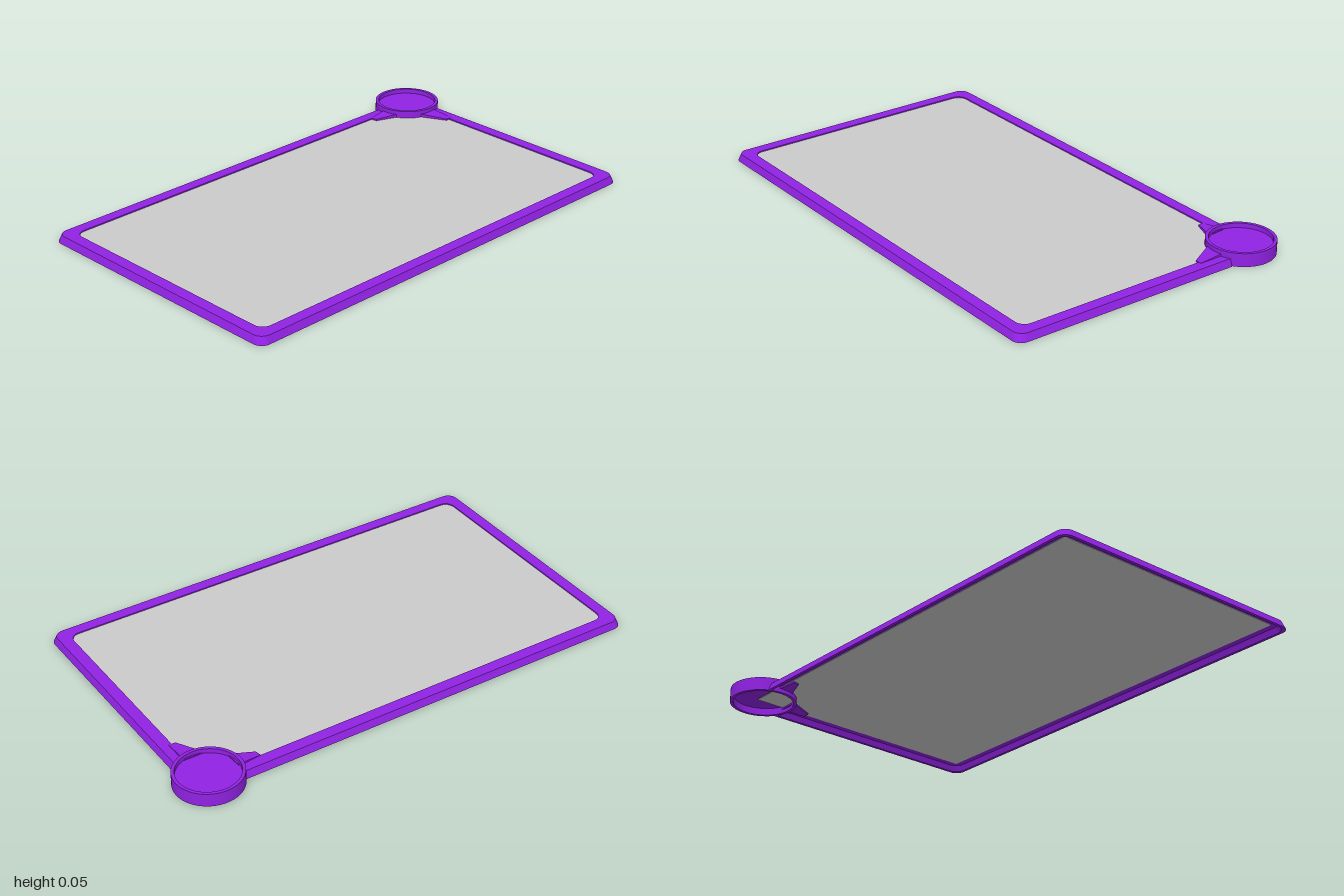
import * as THREE from 'three';
import { toCreasedNormals } from 'three/addons/utils/BufferGeometryUtils.js';

const purple = new THREE.MeshStandardMaterial({ color: 0x9122e4 });
const grey = new THREE.MeshStandardMaterial({ color: 0xcccccc });

// Outer bounds of the tray and the centre of the corner cup
const X0 = -0.545, X1 = 0.617, Z0 = -0.945, Z1 = 1;
const CUP = { x: -0.485, z: -0.866, r: 0.135 };
const CORNER_R = 0.04;

function addMesh(group, name, geometry, material) {
  const mesh = new THREE.Mesh(geometry, material);
  mesh.name = name;
  group.add(mesh);
  return mesh;
}

// Tray outline moved inwards by d, left open at the corner taken by the cup
function outline(d) {
  const pts = [[-0.37, Z0 + d]];
  const corners = [
    [X1 - d - CORNER_R, Z0 + d + CORNER_R, -90],
    [X1 - d - CORNER_R, Z1 - d - CORNER_R, 0],
    [X0 + d + CORNER_R, Z1 - d - CORNER_R, 90],
  ];
  for (const [cx, cz, start] of corners) {
    for (let k = 0; k <= 8; k++) {
      const a = THREE.MathUtils.degToRad(start + (k / 8) * 90);
      pts.push([cx + CORNER_R * Math.cos(a), cz + CORNER_R * Math.sin(a)]);
    }
  }
  pts.push([X0 + d, -0.747]);
  return pts;
}

// Hollow rim: a closed section of [inset, height] swept along the outline
function rimGeometry() {
  const section = [[0, 0], [0.01, 0.03], [0.058, 0.03], [0.058, 0.024], [0.02, 0.024], [0.012, 0]];
  const rings = section.map(([d, y]) => outline(d).map(([x, z]) => [x, y, z]));
  const n = rings[0].length;
  const position = [];
  for (let j = 0; j < rings.length; j++) {
    const lower = rings[j], upper = rings[(j + 1) % rings.length];
    for (let i = 0; i < n - 1; i++) {
      const a = lower[i], b = lower[i + 1], c = upper[i + 1], d = upper[i];
      position.push(...a, ...d, ...c, ...a, ...c, ...b);
    }
  }
  const geo = new THREE.BufferGeometry();
  geo.setAttribute('position', new THREE.Float32BufferAttribute(position, 3));
  return toCreasedNormals(geo, 0.6);
}

// Round cup: shallow dish on top, open underneath
function cupGeometry() {
  const profile = [
    [CUP.r, 0], [CUP.r, 0.055], [0.122, 0.055], [0.122, 0.036], [0, 0.036],
    [0, 0.029], [0.122, 0.029], [0.122, 0], [CUP.r, 0],
  ].map(([r, y]) => new THREE.Vector2(r, y));
  return toCreasedNormals(new THREE.LatheGeometry(profile, 64), 0.6);
}

// Brace: flat plan shape whose top slopes up towards the cup
function braceGeometry(plan) {
  const shape = new THREE.Shape(plan.map(([x, z]) => new THREE.Vector2(x, -z)));
  const geo = new THREE.ExtrudeGeometry(shape, { depth: 1, bevelEnabled: false });
  geo.rotateX(-Math.PI / 2);
  const p = geo.attributes.position;
  for (let i = 0; i < p.count; i++) {
    const dist = Math.hypot(p.getX(i) - CUP.x, p.getZ(i) - CUP.z);
    const t = THREE.MathUtils.clamp((0.22 - dist) / 0.1, 0, 1);
    p.setY(i, p.getY(i) > 0.5 ? 0.031 + 0.009 * t : 0.016);
  }
  geo.computeVertexNormals();
  return geo;
}

export function createModel() {
  const group = new THREE.Group();
  group.name = 'trayWithCornerCup';

  addMesh(group, 'rim', rimGeometry(), purple);

  // Thin sheet tucked under the inner lip of the rim
  const inset = 0.05;
  const panel = addMesh(group, 'panel',
    new THREE.BoxGeometry(X1 - X0 - 2 * inset, 0.003, Z1 - Z0 - 2 * inset), grey);
  panel.position.set((X0 + X1) / 2, 0.0235, (Z0 + Z1) / 2);

  const cup = addMesh(group, 'cornerCup', cupGeometry(), purple);
  cup.position.set(CUP.x, 0, CUP.z);

  // Two braces joining the cup to the rim
  addMesh(group, 'backBrace',
    braceGeometry([[-0.37, -0.9], [-0.255, -0.9], [-0.255, -0.872], [-0.37, -0.815]]), purple);
  addMesh(group, 'sideBrace',
    braceGeometry([[-0.5, -0.75], [-0.488, -0.65], [-0.462, -0.655], [-0.425, -0.755]]), purple);

  return group;
}
